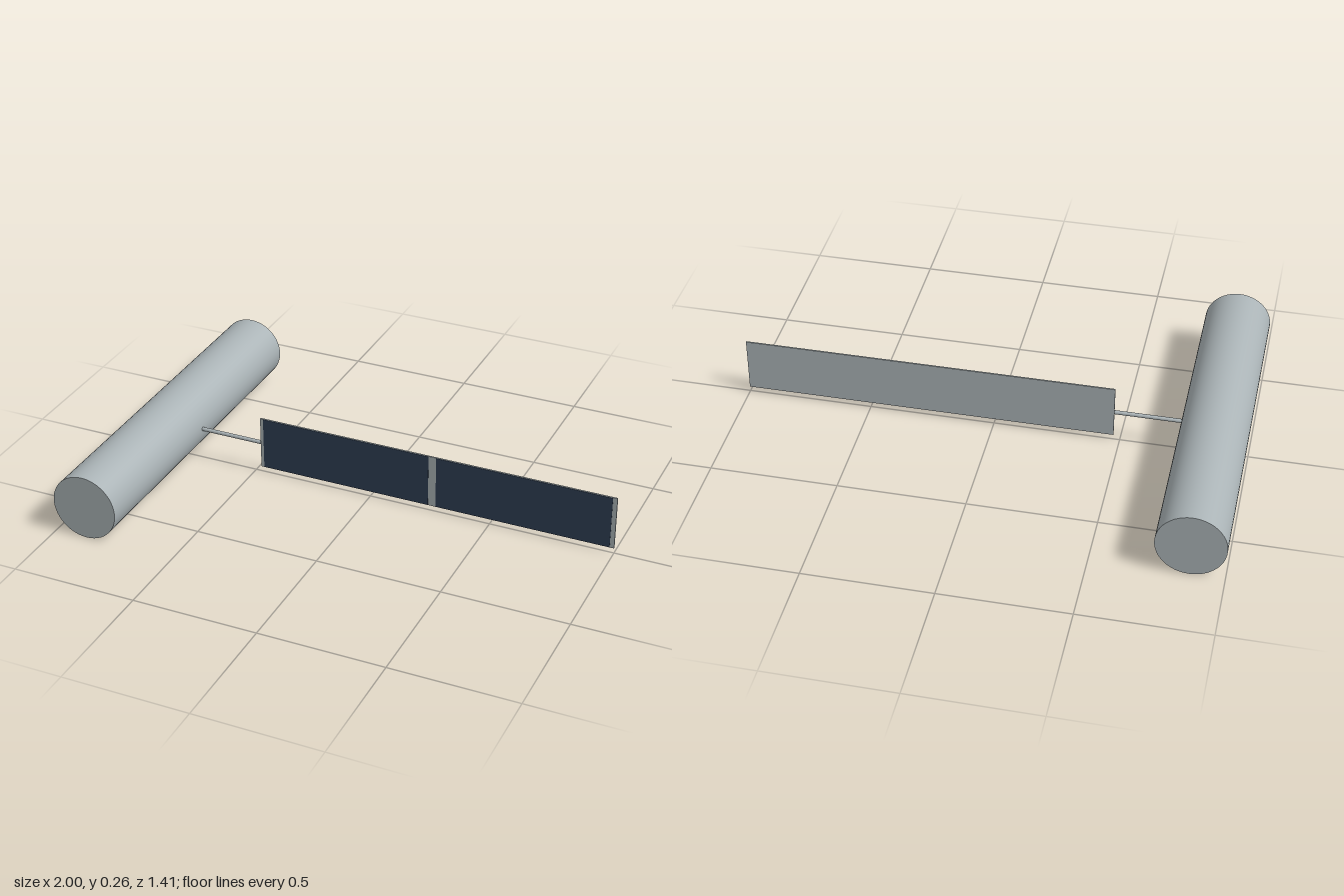
import * as THREE from 'three';

export function createModel() {
  const model = new THREE.Group();
  const grey = new THREE.MeshStandardMaterial({ color: 0xaab3b6 });
  grey.name = 'light grey';
  const navy = new THREE.MeshStandardMaterial({ color: 0x2f3e54 });
  navy.name = 'solar navy';

  const R = 0.132; // body radius, also the height of the centre line
  const add = (name, geometry, material, x, y, z) => {
    const mesh = new THREE.Mesh(geometry, material);
    mesh.name = name;
    mesh.position.set(x, y, z);
    model.add(mesh);
    return mesh;
  };

  // Cylindrical body lying along z
  add('body', new THREE.CylinderGeometry(R, R, 1.414, 48), grey, -1 + R, R, 0).rotation.x = Math.PI / 2;

  // Thin boom from the body to the panel
  add('boom', new THREE.CylinderGeometry(0.008, 0.008, 0.275, 16), grey, -0.6125, R, 0).rotation.z = Math.PI / 2;

  // Panel backing plate
  add('panel', new THREE.BoxGeometry(1.475, 0.22, 0.006), grey, 0.2625, R, 0);

  // Two dark cell fields on the front face
  for (const side of [-1, 1]) {
    add(side < 0 ? 'innerCells' : 'outerCells', new THREE.BoxGeometry(0.706, 0.217, 0.002), navy,
      0.2605 + side * 0.369, R, 0.0035);
  }

  return model;
}
